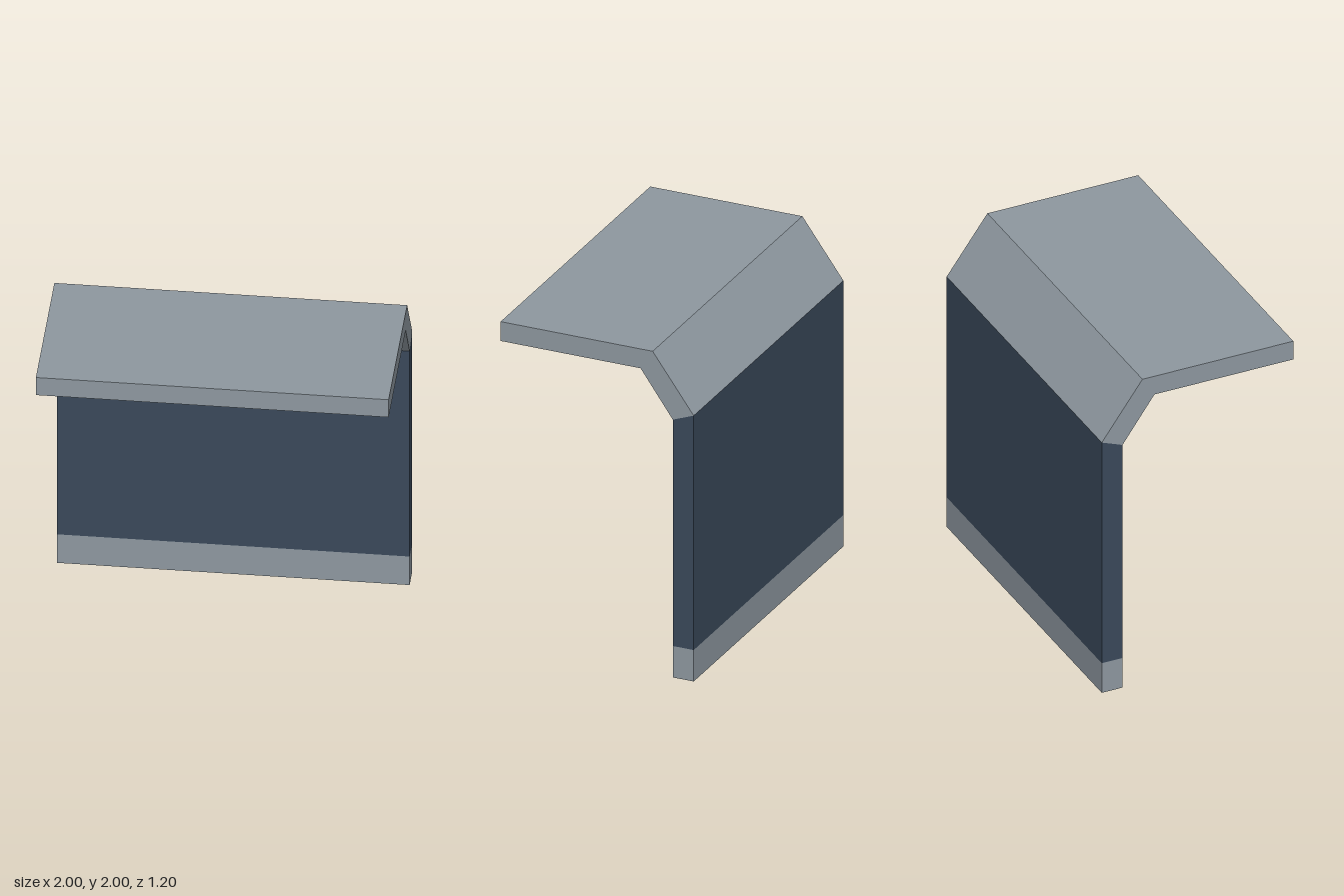
import * as THREE from 'three';

const WIDTH = 2;

// Extrudes a side profile of [z, y] points across the full width, centred on x = 0.
function panel(name, profile, material) {
  const shape = new THREE.Shape(profile.map(([z, y]) => new THREE.Vector2(z, y)));
  const geometry = new THREE.ExtrudeGeometry(shape, { depth: WIDTH, bevelEnabled: false });
  geometry.translate(0, 0, -WIDTH / 2);
  geometry.rotateY(-Math.PI / 2);
  const mesh = new THREE.Mesh(geometry, material);
  mesh.name = name;
  return mesh;
}

export function createModel() {
  const grey = new THREE.MeshStandardMaterial({ name: 'light grey', color: 0x8f99a1 });
  const navy = new THREE.MeshStandardMaterial({ name: 'slate blue', color: 0x3a495b });

  const back = -0.6, front = -0.47;
  const group = new THREE.Group();
  group.name = 'canopyWall';

  // Base strip along the floor
  group.add(panel('baseStrip', [[back, 0], [front, 0], [front, 0.195], [back, 0.195]], grey));

  // Main wall, with a mitred top edge
  group.add(panel('wall', [[back, 0.195], [front, 0.195], [front, 1.6], [back, 1.65]], navy));

  // Sloped shoulder and flat roof in one bent slab
  group.add(panel('roof', [
    [back, 1.65], [front, 1.6], [-0.27, 1.88], [0.6, 1.88], [0.6, 2], [-0.345, 2],
  ], grey));

  return group;
}
